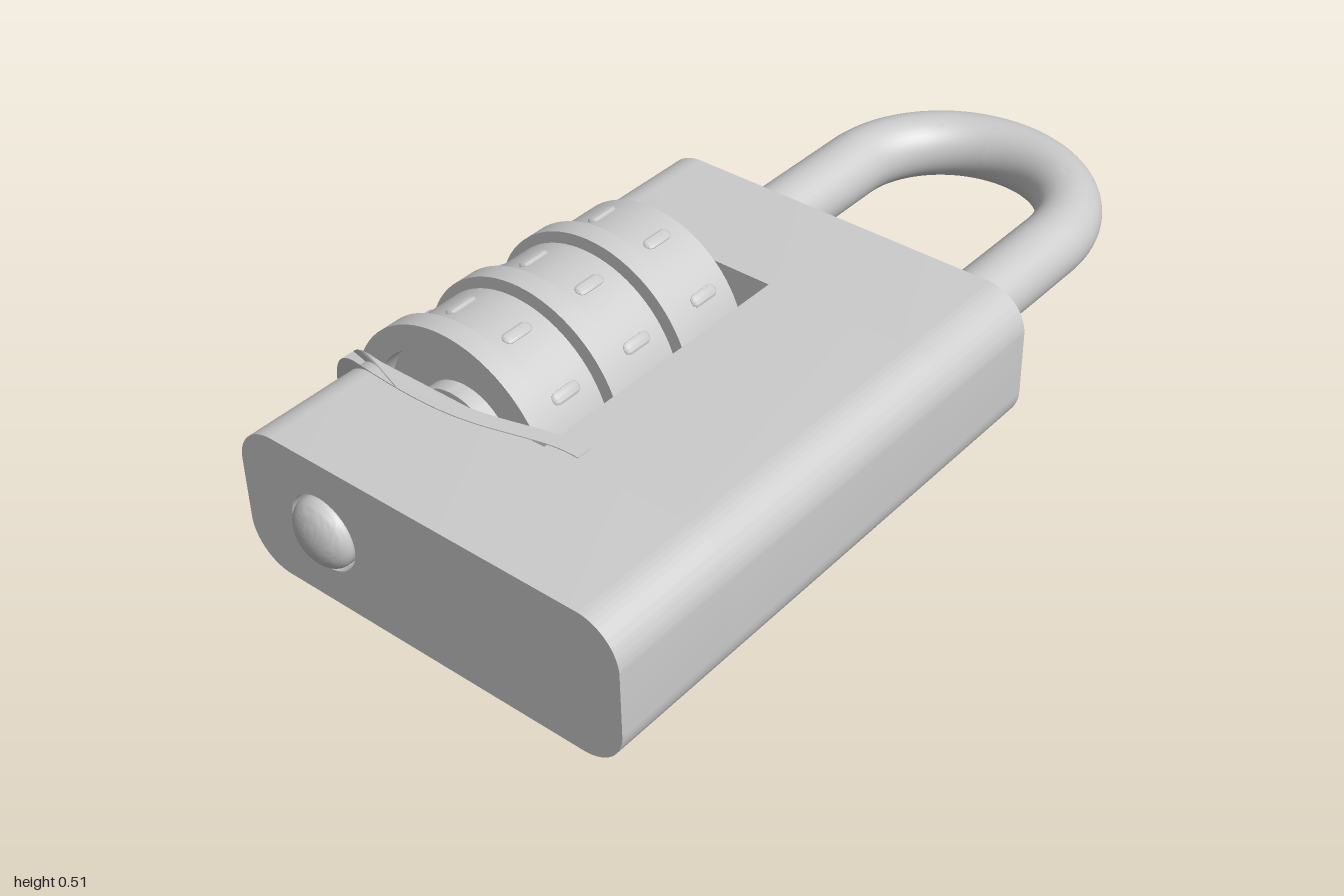
import * as THREE from 'three';
import { toCreasedNormals } from 'three/addons/utils/BufferGeometryUtils.js';

const AXIS_X = -0.23, AXIS_Y = 0.255;      // axis shared by wheels, shaft and button
const LEG_X = 0.297, BAR_R = 0.074;        // free shackle leg
const LEFT = -0.435, RIGHT = 0.485, BOTTOM = 0.095, TOP = 0.418, CORNER = 0.092;

const material = new THREE.MeshStandardMaterial({ color: 0xcccccc });

function part(name, geometry, parent) {
  const mesh = new THREE.Mesh(toCreasedNormals(geometry, 0.5), material);
  mesh.name = name;
  parent.add(mesh);
  return mesh;
}

// Body cross-section; the left corners are rounded only when rl > 0
function section(x0, rl) {
  const s = new THREE.Shape(), r = CORNER, h = Math.PI / 2;
  s.moveTo(x0 + rl, BOTTOM);
  s.absarc(RIGHT - r, BOTTOM + r, r, -h, 0, false);
  s.absarc(RIGHT - r, TOP - r, r, 0, h, false);
  if (rl > 0) {
    s.absarc(x0 + rl, TOP - rl, rl, h, 2 * h, false);
    s.absarc(x0 + rl, BOTTOM + rl, rl, 2 * h, 3 * h, false);
  } else {
    s.lineTo(x0, TOP);
    s.lineTo(x0, BOTTOM);
  }
  return s;
}

function circleHole(x, r) {
  return new THREE.Path().absarc(x, AXIS_Y, r, 0, Math.PI * 2, false);
}

// Round hole with a square keyway above it
function keyedHole(x, r) {
  const w = 0.027, d = Math.asin(w / r), h = Math.PI / 2;
  const p = new THREE.Path();
  p.absarc(x, AXIS_Y, r, h + d, h - d + Math.PI * 2, false);
  p.lineTo(x + w, 0.375);
  p.lineTo(x - w, 0.375);
  p.closePath();
  return p;
}

function slab(shape, z0, z1) {
  return new THREE.ExtrudeGeometry(shape, { depth: z1 - z0, bevelEnabled: false, curveSegments: 20 })
    .translate(0, 0, z0);
}

// Lathe turned so that its axis runs along +z
function turned(profile, segments = 72) {
  return new THREE.LatheGeometry(profile.map(([r, z]) => new THREE.Vector2(r, z)), segments)
    .rotateX(Math.PI / 2);
}

function bar(x, z0, z1) {
  return new THREE.CylinderGeometry(BAR_R, BAR_R, z1 - z0, 40)
    .rotateX(Math.PI / 2).translate(x, AXIS_Y, (z0 + z1) / 2);
}

// Curved leaf plate: bent strip whose outer end has rounded corners
function leafGeometry() {
  const centre = new THREE.SplineCurve([
    [-0.475, 0.67], [-0.39, 0.69], [-0.23, 0.7], [-0.1, 0.69], [0.06, 0.65], [0.13, 0.645],
  ].map(([x, z]) => new THREE.Vector2(x, z))).getPoints(60);
  const t = 0.017;
  const lower = centre.map(p => new THREE.Vector2(p.x, p.y - t));
  const upper = centre.map(p => new THREE.Vector2(p.x, p.y + t)).reverse();
  const height = 0.328, mid = 0.256;
  const g = new THREE.ExtrudeGeometry(new THREE.Shape([...lower, ...upper]), { depth: height, bevelEnabled: false });
  g.rotateX(Math.PI / 2).translate(0, mid + height / 2, 0);
  const pos = g.attributes.position, start = -0.475 + CORNER;
  for (let i = 0; i < pos.count; i++) {
    const dx = Math.min(Math.max(0, start - pos.getX(i)), CORNER);
    const half = height / 2 - CORNER + Math.sqrt(CORNER * CORNER - dx * dx);
    pos.setY(i, mid + Math.sign(pos.getY(i) - mid) * half);
  }
  return g;
}

// Number wheel: drum, front flange, recessed face with a stop, plain raised marks
function makeWheel(z0) {
  const wheel = new THREE.Group();
  wheel.name = 'wheel';
  wheel.position.set(AXIS_X, AXIS_Y, z0);
  part('wheelDrum', turned([
    [0.08, 0], [0.235, 0], [0.235, 0.145], [0.255, 0.145], [0.255, 0.193],
    [0.203, 0.193], [0.203, 0.15], [0.115, 0.15], [0.115, 0.185], [0.08, 0.185], [0.08, 0],
  ], 80), wheel);
  const stop = part('wheelStop', new THREE.BoxGeometry(0.1, 0.045, 0.04).translate(0.16, 0, 0.168), wheel);
  stop.rotation.z = -1.2;
  for (let i = 0; i < 10; i++) {
    const mark = part('wheelMark', new THREE.CapsuleGeometry(0.014, 0.045, 4, 10)
      .rotateX(Math.PI / 2).scale(0.6, 1, 1).translate(0.234, 0, 0.072), wheel);
    mark.rotation.z = (i + 0.5) * Math.PI / 5 + Math.PI / 2;
  }
  return wheel;
}

export function createModel() {
  const model = new THREE.Group();
  model.name = 'combinationPadlock';

  // Body: two end blocks joined by a spine, leaving the wheel window open on one side
  const body = new THREE.Group();
  body.name = 'body';
  model.add(body);
  const back = section(LEFT, CORNER);
  back.holes.push(keyedHole(AXIS_X, 0.08), circleHole(LEG_X, 0.078));
  part('backBlock', slab(back, -0.26, 0.02), body);
  part('spine', slab(section(0.06, 0), 0.02, 0.675), body);
  const front = section(LEFT, CORNER);
  front.holes.push(circleHole(AXIS_X, 0.082));
  part('frontBlock', slab(front, 0.675, 0.963), body);
  part('leafPlate', leafGeometry(), body);

  // Shackle: long leg is also the wheel shaft, short leg ends in the back block
  const shackle = new THREE.Group();
  shackle.name = 'shackle';
  model.add(shackle);
  const bendZ = -0.662, bendR = (LEG_X - AXIS_X) / 2;
  part('shaftLeg', bar(AXIS_X, bendZ, 0.96), shackle);
  part('freeLeg', bar(LEG_X, bendZ, 0.01), shackle);
  part('shackleBend', new THREE.TorusGeometry(bendR, BAR_R, 40, 60, Math.PI)
    .rotateX(-Math.PI / 2).translate((AXIS_X + LEG_X) / 2, AXIS_Y, bendZ), shackle);

  // Domed end of the shaft
  const dome = [[BAR_R, 0.95]];
  for (let i = 0; i <= 12; i++) {
    const a = (i / 12) * Math.PI / 2;
    dome.push([BAR_R * Math.cos(a), 0.96 + 0.04 * Math.sin(a)]);
  }
  part('shaftButton', turned(dome, 40).translate(AXIS_X, AXIS_Y, 0), shackle);

  // Three wheels on the shaft
  for (let i = 0; i < 3; i++) model.add(makeWheel(0.03 + i * 0.203));

  return model;
}
